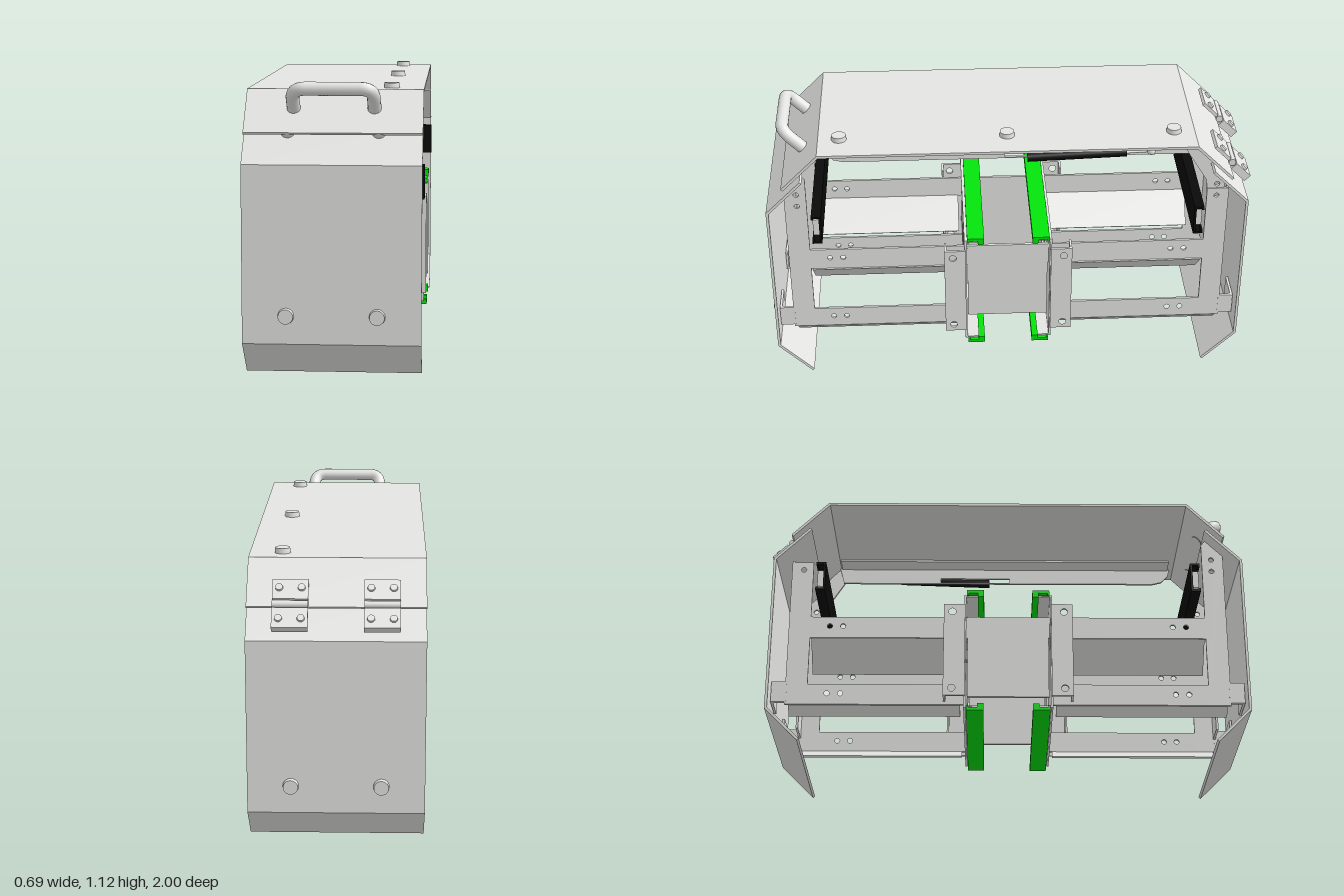
import * as THREE from 'three';

const mat = (name, color) => Object.assign(new THREE.MeshStandardMaterial({ color }), { name });

export function createModel() {
  const steel = mat('light grey steel', 0xe4e4e2);
  const black = mat('black', 0x0a0a0a);
  const green = mat('green', 0x04e40c);
  const root = new THREE.Group();
  root.name = 'hoodedFrame';

  const add = (name, geo, material = steel, parent = root) => {
    const m = new THREE.Mesh(geo, material);
    m.name = name;
    parent.add(m);
    return m;
  };
  const box = (name, w, h, d, x, y, z, material = steel, parent = root) =>
    add(name, new THREE.BoxGeometry(w, h, d).translate(x, y, z), material, parent);

  // Closed outline of a bent sheet of thickness t, mitred at the folds
  const fold = (pts, t) => {
    const p = pts.map(([a, b]) => new THREE.Vector2(a, b));
    const n = p.slice(1).map((q, i) => {
      const d = q.clone().sub(p[i]).normalize();
      return new THREE.Vector2(-d.y, d.x);
    });
    const off = p.map((q, i) => {
      const a = n[Math.max(0, i - 1)], b = n[Math.min(i, n.length - 1)];
      return q.clone().addScaledVector(a.clone().add(b), t / (1 + a.dot(b)));
    });
    return [...p, ...off.reverse()].map((v) => [v.x, v.y]);
  };
  const shape = (pts, holes = []) => {
    const s = new THREE.Shape(pts.map(([a, b]) => new THREE.Vector2(a, b)));
    for (const [a, b, r] of holes) s.holes.push(new THREE.Path().absarc(a, b, r, 0, Math.PI * 2, true));
    return s;
  };
  const extrude = (s, depth) =>
    new THREE.ExtrudeGeometry(s, { depth, bevelEnabled: false, curveSegments: 8 }).translate(0, 0, -depth / 2);
  // Outline in (z, y), extruded along x and centred on x
  const alongX = (pts, width, x = 0, holes = []) =>
    extrude(shape(pts, holes), width).rotateY(-Math.PI / 2).translate(x, 0, 0);
  const rect = (a0, a1, b0, b1) => [[a0, b0], [a1, b0], [a1, b1], [a0, b1]];
  const up = new THREE.Vector3(0, 1, 0);
  const bolt = (x, y, z, dir, r = 0.031, h = 0.022, parent = root) => {
    const m = add('boltHead', new THREE.CylinderGeometry(r * 0.92, r, h, 20), steel, parent);
    m.position.set(x, y, z);
    m.quaternion.setFromUnitVectors(up, new THREE.Vector3(...dir).normalize());
  };

  // Lid with sloping ends
  add('lid', alongX(fold([[0.912, 0.935], [0.76, 1.088], [-0.76, 1.088], [-0.912, 0.935]], 0.011), 0.676));
  for (const z of [-0.675, 0, 0.675]) bolt(0.212, 1.097, z, [0, 1, 0]);

  // Lid rail: hanging plate with slot, top flange
  const rail = shape([[0.74, 1.075], [0.73, 1.04], [0.7, 1.01], [0.66, 1.0], [-0.74, 1.0], [-0.76, 1.075]]);
  rail.holes.push(new THREE.Path(rect(-0.3, 0.01, 1.005, 1.025).map(([a, b]) => new THREE.Vector2(a, b))));
  add('lidRail', extrude(rail, 0.01).rotateY(-Math.PI / 2).translate(0.24, 0, 0));
  box('lidRailFlange', 0.09, 0.008, 1.48, 0.2, 1.073, -0.01);

  // Gas spring lying along the rail
  const rod = (name, r, z0, z1, y0, y1, material) => {
    const m = add(name, new THREE.CylinderGeometry(r, r, Math.hypot(z1 - z0, y1 - y0), 16), material);
    m.position.set(0.265, (y0 + y1) / 2, (z0 + z1) / 2);
    m.quaternion.setFromUnitVectors(up, new THREE.Vector3(0, y1 - y0, z1 - z0).normalize());
  };
  rod('springCylinder', 0.018, -0.08, -0.48, 1.013, 1.027, black);
  rod('springRod', 0.006, -0.48, -0.58, 1.027, 1.031, steel);
  add('springBall', new THREE.SphereGeometry(0.018, 16, 12).translate(0.265, 1.031, -0.58));

  // Carrying handle standing square off the front slope, with clipped corners
  const hp = (x, h) => new THREE.Vector3(x, 1.015 + h * 0.707, 0.823 + h * 0.707);
  const path = new THREE.CurvePath();
  path.add(new THREE.LineCurve3(hp(-0.153, -0.008), hp(-0.153, 0.07)));
  path.add(new THREE.QuadraticBezierCurve3(hp(-0.153, 0.07), hp(-0.15, 0.12), hp(-0.105, 0.12)));
  path.add(new THREE.LineCurve3(hp(-0.105, 0.12), hp(0.105, 0.12)));
  path.add(new THREE.QuadraticBezierCurve3(hp(0.105, 0.12), hp(0.15, 0.12), hp(0.153, 0.07)));
  path.add(new THREE.LineCurve3(hp(0.153, 0.07), hp(0.153, -0.008)));
  add('handle', new THREE.TubeGeometry(path, 40, 0.026, 14));

  // Hinges on the back slope
  for (const x of [-0.172, 0.172]) {
    const hinge = new THREE.Group();
    hinge.name = 'hinge';
    hinge.position.set(x, 0.947, -0.92);
    hinge.rotation.x = -Math.PI / 4;
    root.add(hinge);
    add('hingeKnuckle', new THREE.CylinderGeometry(0.015, 0.015, 0.135, 14).rotateZ(Math.PI / 2), steel, hinge);
    for (const s of [-1, 1]) {
      // The lower leaf is packed out to reach the panel
      const t = s < 0 ? 0.034 : 0.014;
      box('hingeLeaf', 0.135, t, 0.085, 0, 0.009 - t / 2, s * 0.061, steel, hinge);
      for (const bx of [-0.042, 0.042]) bolt(bx, 0.012, s * 0.066, [0, 1, 0], 0.015, 0.012, hinge);
    }
  }

  // Both ends: folded panel, bolts, posts and cross channel (s = +1 front, -1 back)
  for (const s of [1, -1]) {
    const m = (pts) => pts.map(([z, y, r]) => [z * s, y, r]);
    add(s > 0 ? 'frontPanel' : 'backPanel',
      alongX(m(fold([[0.842, 0.004], [0.98, 0.142], [0.98, 0.822], [0.835, 0.967]], 0.011)), 0.676));
    for (const x of [-0.172, 0.172]) {
      bolt(x, 0.25, s * 0.988, [0, 0, s]);
      if (s > 0) bolt(x, 0.936, 0.876, [0, 1, 1], 0.026, 0.03);
    }
    // Cross channel, open towards the end panel
    add('crossChannel', alongX(m(fold([[0.8, 0.686], [0.8, 0.672], [0.76, 0.672], [0.76, 0.802], [0.8, 0.802],
      [0.8, 0.788]], -0.009)), 0.686), black);
    for (const side of [1, -1]) {
      const x = side * 0.26;
      const top = s > 0 ? [[0.91, 0.88], [0.84, 0.952], [0.82, 0.93]] : [[0.91, 0.84], [0.82, 0.84]];
      const holes = [[0.86, 0.805, 0.011], [0.86, 0.86, 0.011]].slice(0, s > 0 ? 2 : 1);
      add('post', alongX(m([[0.82, 0.19], [0.91, 0.19], ...top]), 0.01, x, m(holes)));
      box('postFlange', 0.12, 0.6, 0.01, side * 0.2, 0.55, s * 0.905);
      box('postFoot', 0.012, 0.09, 0.062, x, 0.245, s * 0.935);
      box('footTab', 0.13, 0.09, 0.01, side * 0.2, 0.245, s * 0.962);
      box('channelBracket', 0.07, 0.075, 0.025, side * 0.285, 0.737, s * 0.783);
      box('bracketHole', 0.018, 0.018, 0.004, side * 0.285, 0.737, s * 0.795, black);
    }
  }
  // Bracket joining the back post to the lid rail
  add('lidBracket', alongX([[-0.7, 1.075], [-0.77, 1.075], [-0.89, 0.9], [-0.89, 0.78], [-0.825, 0.78],
    [-0.815, 0.88], [-0.74, 1.0]], 0.012, 0.255, [[-0.86, 0.86, 0.011], [-0.86, 0.805, 0.011]]));

  // Side frames: beams with sloping lower flanges and a middle plate
  for (const side of [1, -1]) {
    const x = side * 0.26;
    const holes = (y, signs) => signs.flatMap((s) => [[s * 0.74, y, 0.011], [s * 0.685, y, 0.011]]);
    add('upperBeam', alongX(rect(-0.82, 0.82, 0.49, 0.585), 0.01, x, holes(0.543, [1, -1])));
    add('middlePlate', alongX(rect(-0.168, 0.168, 0.225, 0.585), 0.012, x));
    for (const s of [1, -1]) {
      const slope = (dx, y0, y1) => fold([[x, y0], [x - side * dx, y1]], 0.008);
      add('lowerBeam', alongX(rect(s * 0.18, s * 0.9, 0.19, 0.28), 0.01, x, holes(0.238, [s])));
      add('upperBeamFlange', extrude(shape(slope(0.115, 0.49, 0.375)), 0.62).translate(0, 0, s * 0.505));
      add('lowerBeamFlange', extrude(shape(slope(0.04, 0.195, 0.155)), 0.7).translate(0, 0, s * 0.545));
    }
  }

  // Middle bulkheads with windows, side flanges and green rails
  for (const s of [1, -1]) {
    const wall = shape(rect(-0.33, 0.33, 0.15, 0.655));
    for (const [a, b] of [[-0.2, -0.03], [0.03, 0.2]]) {
      const k = 0.025, c = 0.31, d = 0.57;
      wall.holes.push(new THREE.Path([[a + k, c], [b - k, c], [b, c + k], [b, d - k], [b - k, d], [a + k, d],
        [a, d - k], [a, c + k]].map(([u, v]) => new THREE.Vector2(u, v))));
    }
    add('bulkhead', extrude(wall, 0.009).translate(0, 0, s * 0.177));
    for (const side of [1, -1]) {
      add('bulkheadFlange', alongX(rect(s * 0.177, s * 0.265, 0.2, 0.61), 0.01, side * 0.335,
        [[s * 0.23, 0.575, 0.015], [s * 0.23, 0.232, 0.015]]));
      box('flangeReturn', 0.06, 0.41, 0.009, side * 0.305, 0.405, s * 0.26);
    }
    // Rails: cap with a deep inner lip and a thin outer lip; d points away from the middle
    for (const [y, d] of [[0.657, 1], [0.15, -1]]) {
      box('bulkheadLip', 0.66, 0.006, 0.06, 0, y - d * 0.006, s * 0.15);
      box('greenRail', 0.684, 0.013, 0.07, 0, y + d * 0.009, s * 0.135, green);
      box('greenRailInnerLip', 0.684, 0.02, 0.026, 0, y - d * 0.004, s * 0.113, green);
      box('greenRailOuterLip', 0.684, 0.012, 0.008, 0, y, s * 0.166, green);
    }
  }
  return root;
}
